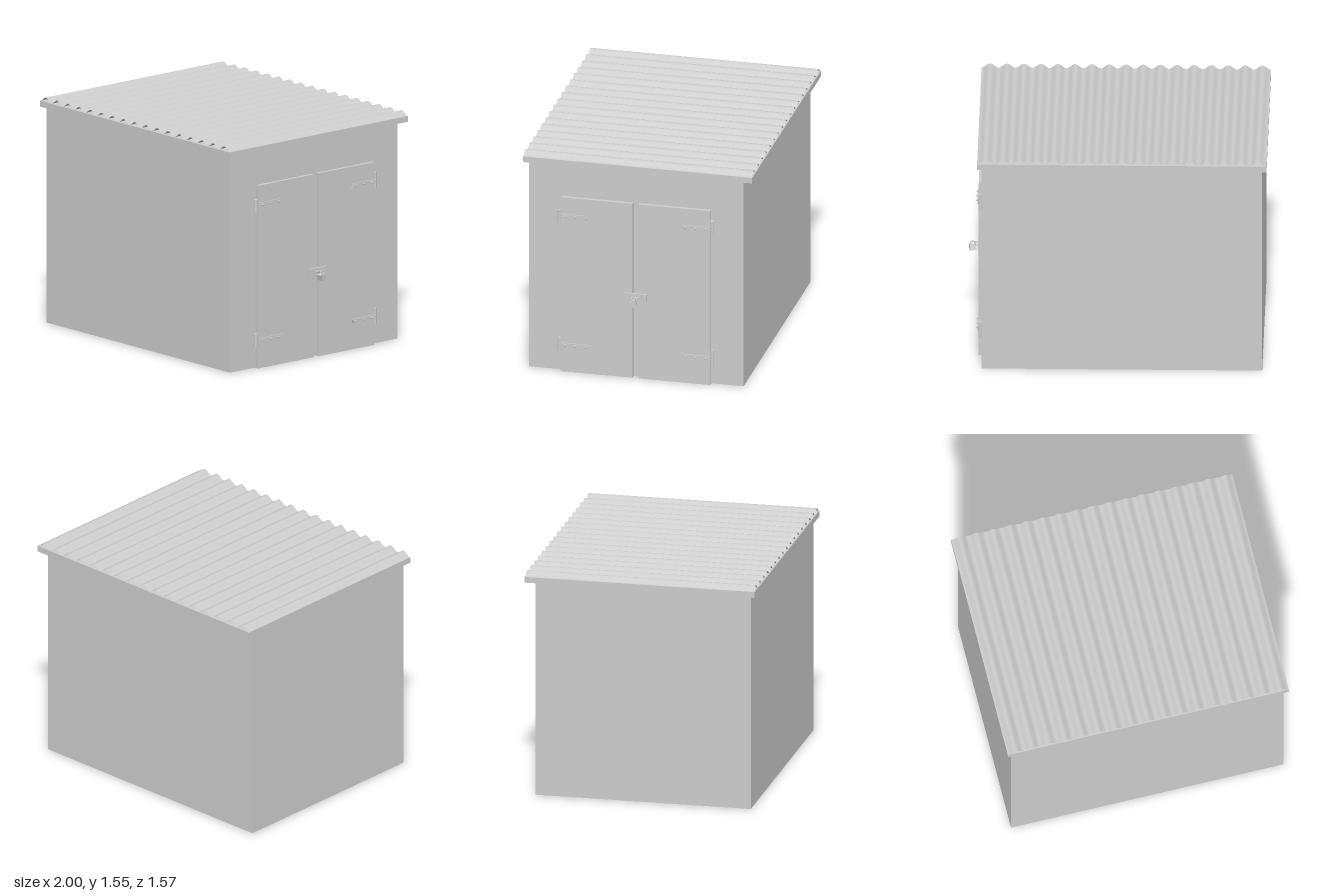
import * as THREE from 'three';

const grey = new THREE.MeshStandardMaterial({ color: 0xcccccc });
const thin = new THREE.MeshStandardMaterial({ color: 0xcccccc, side: THREE.DoubleSide });

function add(parent, name, geometry, x = 0, y = 0, z = 0, material = grey) {
  const mesh = new THREE.Mesh(geometry, material);
  mesh.name = name;
  mesh.position.set(x, y, z);
  parent.add(mesh);
  return mesh;
}

// Box given by its limits on each axis
function box(parent, name, [x0, x1], [y0, y1], [z0, z1]) {
  return add(parent, name, new THREE.BoxGeometry(x1 - x0, y1 - y0, z1 - z0),
    (x0 + x1) / 2, (y0 + y1) / 2, (z0 + z1) / 2);
}

// Open wavy sheet: a plane whose height follows a cosine along x
function corrugatedSheet(x0, x1, depth, low, high, ridges) {
  const width = x1 - x0;
  const geo = new THREE.PlaneGeometry(width, depth, ridges * 12, 1).rotateX(-Math.PI / 2);
  const p = geo.attributes.position;
  for (let i = 0; i < p.count; i++) {
    const t = (p.getX(i) + width / 2) / width;
    p.setY(i, low + (high - low) * (0.5 - 0.5 * Math.cos(t * ridges * Math.PI * 2)));
  }
  geo.translate((x0 + x1) / 2, 0, 0);
  geo.computeVertexNormals();
  return geo;
}

// Strap hinge: inward is the z direction the strap runs, tip is the side of its point
function hinge(name, z, y, inward, tip, pinLow, pinHigh) {
  const group = new THREE.Group();
  group.name = name;
  add(group, 'hingePin', new THREE.CylinderGeometry(0.0125, 0.0125, pinHigh - pinLow, 16),
    0.914, (pinLow + pinHigh) / 2, z - inward * 0.0125);
  const h = 0.016;
  const strap = new THREE.Shape([
    new THREE.Vector2(0, -h),
    new THREE.Vector2(tip < 0 ? 0.207 : 0.187, -h),
    new THREE.Vector2(tip < 0 ? 0.187 : 0.207, h),
    new THREE.Vector2(0, h),
  ]);
  const geo = new THREE.ExtrudeGeometry(strap, { depth: 0.009, bevelEnabled: false });
  // Turn the strap so its length runs along z and its thickness along x
  geo.translate(0, 0, -0.0045).rotateY(-inward * Math.PI / 2);
  add(group, 'hingeStrap', geo, 0.9285, y, z);
  for (const d of [0.03, 0.10, 0.172]) {
    const rivet = new THREE.SphereGeometry(0.008, 12, 6, 0, Math.PI * 2, 0, Math.PI / 2);
    add(group, 'rivet', rivet.rotateZ(-Math.PI / 2), 0.933, y, z + inward * d);
  }
  return group;
}

// Hasp plate with a staple and a hanging padlock
function latch() {
  const group = new THREE.Group();
  group.name = 'latch';
  box(group, 'haspPlate', [0.925, 0.938], [0.565, 0.612], [-0.065, 0.088]);

  const staple = new THREE.TorusGeometry(0.024, 0.005, 8, 20, Math.PI);
  staple.rotateZ(-Math.PI / 2).rotateX(Math.PI / 2);
  add(group, 'staple', staple, 0.938, 0.59, 0.008);

  const padlock = new THREE.Group();
  padlock.name = 'padlock';
  padlock.position.set(0.973, 0.558, 0.016);
  padlock.rotation.set(0.35, 0.2, -0.08);
  add(padlock, 'lockBody', new THREE.BoxGeometry(0.044, 0.042, 0.034));
  const bow = new THREE.CatmullRomCurve3([
    [-0.014, 0.018], [-0.014, 0.03], [-0.009, 0.039], [0, 0.042],
    [0.009, 0.039], [0.014, 0.03], [0.014, 0.018],
  ].map(([x, y]) => new THREE.Vector3(x, y, 0)));
  add(padlock, 'shackle', new THREE.TubeGeometry(bow, 20, 0.005, 8));
  group.add(padlock);
  return group;
}

export function createModel() {
  const shed = new THREE.Group();
  shed.name = 'shed';

  // Walls and roof
  box(shed, 'walls', [-0.97, 0.9], [0.003, 1.48], [-0.72, 0.754]);
  box(shed, 'roofSlab', [-1, 0.93], [1.484, 1.524], [-0.787, 0.787]);
  add(shed, 'corrugatedRoof', corrugatedSheet(-1, 0.93, 1.566, 1.525, 1.555, 17), 0, 0, 0, thin);

  // Double doors on the right-hand wall of the plan
  box(shed, 'frontDoor', [0.895, 0.925], [0, 1.254], [0.036, 0.53]);
  box(shed, 'backDoor', [0.895, 0.925], [0, 1.254], [-0.498, -0.006]);

  // Strap hinges
  shed.add(
    hinge('frontUpperHinge', 0.528, 1.121, -1, -1, 1.068, 1.16),
    hinge('frontLowerHinge', 0.528, 0.192, -1, 1, 0.145, 0.238),
    hinge('backUpperHinge', -0.497, 1.121, 1, -1, 1.07, 1.182),
    hinge('backLowerHinge', -0.497, 0.192, 1, 1, 0.135, 0.249),
  );

  shed.add(latch());
  return shed;
}
